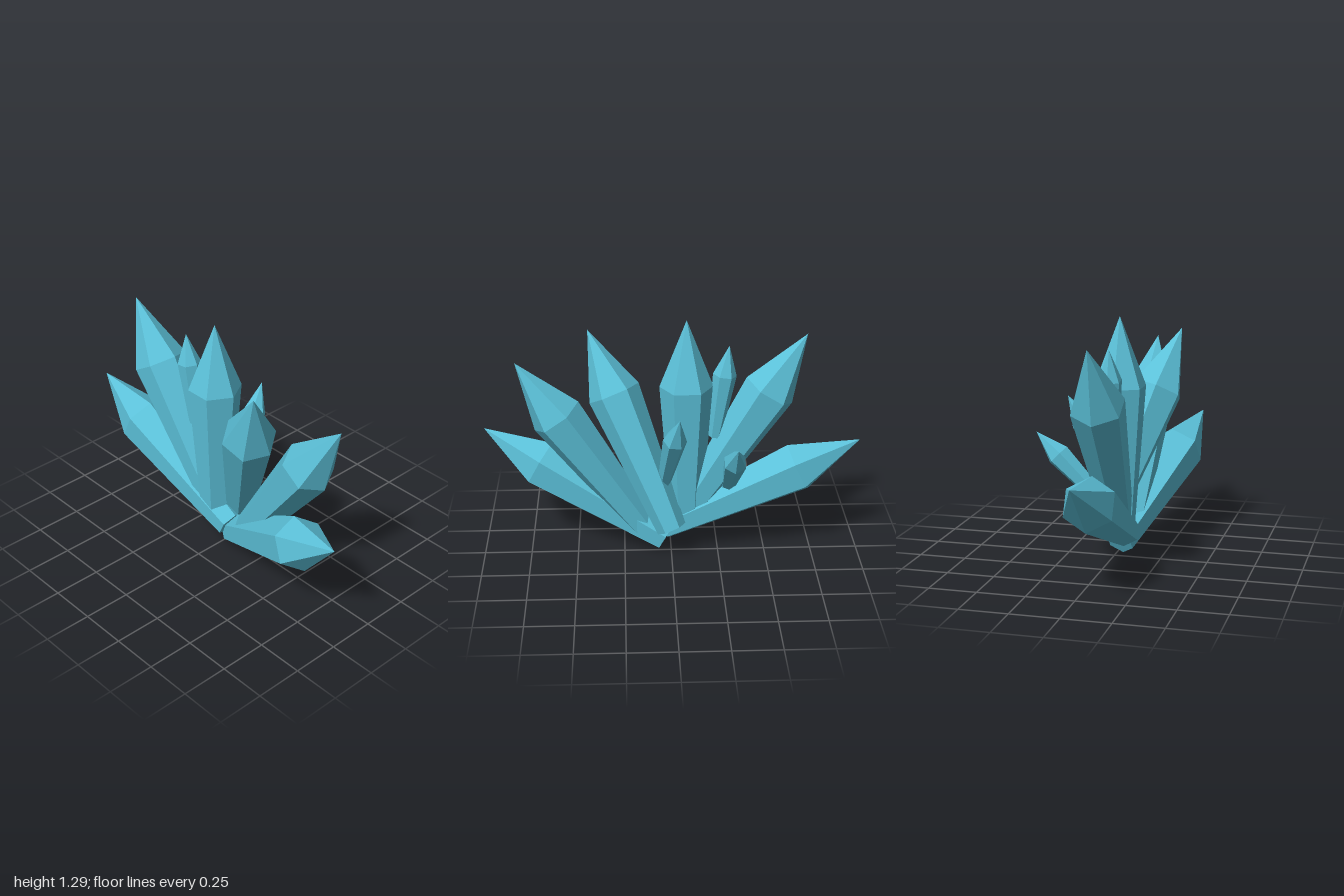
import * as THREE from 'three';

const material = new THREE.MeshStandardMaterial({ color: 0x5bc0d8, flatShading: true });

// Two crystal sizes: base radius, shoulder radius, tip length
const LARGE = { foot: 0.079, shoulder: 0.14, tip: 0.36 };
const SMALL = { foot: 0.036, shoulder: 0.062, tip: 0.16 };

// Six-sided crystal growing from base to tip, with one ridge facing the given direction
function crystal(name, size, base, tip, ridge) {
  const from = new THREE.Vector3(...base);
  const axis = new THREE.Vector3(...tip).sub(from);
  const length = axis.length();
  axis.normalize();

  const profile = [
    new THREE.Vector2(0, 0),
    new THREE.Vector2(size.foot, 0),
    new THREE.Vector2(size.shoulder, length - size.tip),
    new THREE.Vector2(0, length),
  ];
  const mesh = new THREE.Mesh(new THREE.LatheGeometry(profile, 6), material);
  mesh.name = name;

  const zAxis = new THREE.Vector3(...ridge);
  zAxis.addScaledVector(axis, -zAxis.dot(axis)).normalize();
  const xAxis = new THREE.Vector3().crossVectors(axis, zAxis);
  mesh.quaternion.setFromRotationMatrix(new THREE.Matrix4().makeBasis(xAxis, axis, zAxis));
  mesh.position.copy(from);
  return mesh;
}

export function createModel() {
  const group = new THREE.Group();
  group.name = 'crystalCluster';
  const forward = [0, 0, 1];

  group.add(
    // Large crystals fanned from front to back
    crystal('centreCrystal', LARGE, [-0.05, 0.153, -0.08], [-0.05, 1.3, -0.08], forward),
    crystal('backUpperCrystal', LARGE, [-0.05, 0.245, -0.1], [-0.05, 1.22, -0.7], forward),
    crystal('backLowerCrystal', LARGE, [-0.05, 0.134, 0.04], [-0.05, 0.625, -1], [0, 1, 0]),
    crystal('frontUpperCrystal', LARGE, [-0.05, 0.138, 0.146], [-0.05, 1.08, 0.8], forward),
    crystal('rightCrystal', LARGE, [0.06, 0.17, 0], [-0.265, 1.18, 0.43], [-0.127, -0.018, -0.065]),
    crystal('frontLowerCrystal', LARGE, [-0.02, 0.08, 0.03], [-0.28, 0.62, 1], [-0.127, -0.06, -0.005]),
    // Small crystals sprouting from the large ones
    crystal('leftSmallCrystal', SMALL, [0.007, 0.43, 0.035], [0.24, 0.87, -0.035], forward),
    crystal('leftBackSmallCrystal', SMALL, [-0.035, 0.375, -0.305], [0.32, 0.735, -0.325], [0.7, -0.7, 0]),
    crystal('backSmallCrystal', SMALL, [-0.05, 0.658, -0.23], [-0.05, 1.16, -0.3], forward),
  );
  return group;
}
